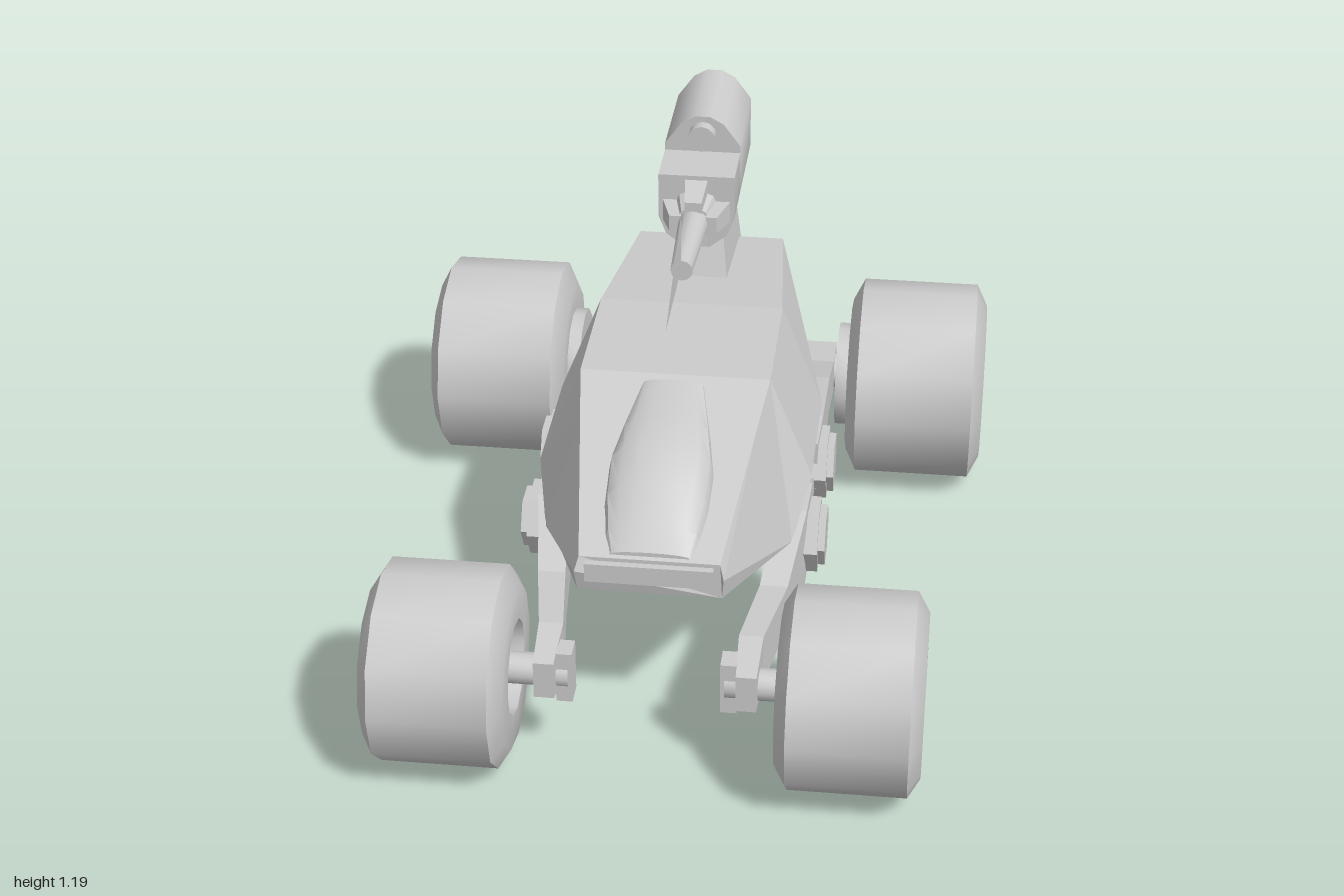
import * as THREE from 'three';
import { toCreasedNormals } from 'three/addons/utils/BufferGeometryUtils.js';

const mat = new THREE.MeshStandardMaterial({ color: 0xcccccc });
const thin = new THREE.MeshStandardMaterial({ color: 0xcccccc, side: THREE.DoubleSide });

export function createModel() {
  const root = new THREE.Group();

  const add = (name, geo, crease = 0.7, material = mat) => {
    const mesh = new THREE.Mesh(toCreasedNormals(geo, crease), material);
    mesh.name = name;
    root.add(mesh);
    return mesh;
  };

  // Closed skin over rings ordered front to back, each counterclockwise seen from the front
  const loft = (rings) => {
    const n = rings[0].length, pos = [];
    const tri = (a, b, c) => pos.push(...a, ...b, ...c);
    for (let i = 0; i < rings.length - 1; i++) {
      for (let j = 0; j < n; j++) {
        const k = (j + 1) % n, A = rings[i], B = rings[i + 1];
        tri(A[j], B[j], B[k]);
        tri(A[j], B[k], A[k]);
      }
    }
    const F = rings[0], L = rings[rings.length - 1];
    for (let j = 1; j < n - 1; j++) {
      tri(F[0], F[j], F[j + 1]);
      tri(L[0], L[j + 1], L[j]);
    }
    const g = new THREE.BufferGeometry();
    g.setAttribute('position', new THREE.Float32BufferAttribute(pos, 3));
    g.computeVertexNormals();
    return g;
  };
  // Right half of a ring, listed from bottom to top, completed by its mirror
  const mirrorRing = (half) => [...half, ...half.slice().reverse().map(([x, y, z]) => [-x, y, z])];
  // Beam of rectangular sections [x, y, z, width, height]
  const beam = (s, stations) => loft(stations.map(([x, y, z, w, h]) =>
    [[1, -1], [1, 1], [-1, 1], [-1, -1]].map(([u, v]) => [s * x + u * w / 2, y + v * h / 2, z])));
  // Cylinder or cone between two points
  const rod = (a, b, ra, rb = ra, sides = 12) => {
    const A = new THREE.Vector3(...a), B = new THREE.Vector3(...b), d = B.clone().sub(A);
    const g = new THREE.CylinderGeometry(rb, ra, d.length(), sides);
    g.applyQuaternion(new THREE.Quaternion().setFromUnitVectors(new THREE.Vector3(0, 1, 0), d.normalize()));
    const m = A.add(B).multiplyScalar(0.5);
    return g.translate(m.x, m.y, m.z);
  };

  // Faceted hull
  add('hull', loft([
    [[.175, .47, .70], [.18, .53, .715], [.17, .565, .70]],
    [[.30, .385, .32], [.315, .39, .32], [.22, .713, .32]],
    [[.335, .485, .17], [.35, .495, .17], [.24, .77, .17]],
    [[.335, .485, -.2], [.35, .495, -.2], [.24, .77, -.2]],
    [[.18, .65, -.66], [.2, .705, -.705], [.2, .715, -.70]],
  ].map(mirrorRing)), 0.1);
  add('nosePanel', new THREE.BoxGeometry(.31, .05, .02).translate(0, .53, .708));

  // Canopy bulge: [z, half width, base y, height]
  add('canopy', loft([
    [.69, .1, .565, .015], [.64, .115, .58, .05], [.56, .128, .61, .085], [.46, .13, .65, .095],
    [.36, .112, .69, .07], [.2, .08, .75, .022],
  ].map(([z, w, y, h]) => {
    const ring = [];
    for (let i = 0; i <= 8; i++) {
      const a = i * Math.PI / 8;
      ring.push([w * Math.cos(a), y + h * Math.pow(Math.sin(a), .6), z]);
    }
    return ring;
  })), 0.75);

  // Lower chassis from a side profile (z, y)
  const side = new THREE.Shape([
    [.31, .5], [.31, .43], [.22, .28], [.1, .265], [-.1, .265], [-.2, .29], [-.47, .39],
    [-.54, .40], [-.54, .57], [-.45, .6], [-.2, .5],
  ].map(([z, y]) => new THREE.Vector2(-z, y)));
  add('chassis', new THREE.ExtrudeGeometry(side, { depth: .31, bevelEnabled: false })
    .translate(0, 0, -.155).rotateY(Math.PI / 2), 0.1);

  // Cross shafts carrying the arms
  add('frontShaft', rod([-.34, .32, .175], [.34, .32, .175], .075));
  add('rearShaft', rod([-.34, .34, -.145], [.34, .34, -.145], .075));

  // Wheel with chamfered shoulders and recessed hub on both faces
  const wheel = (name, s, x, y, z, R, rs, hole, half, inner, outer) => {
    const profile = [
      [0, inner], [hole, inner], [hole, -half], [rs, -half], [R, -half + .03],
      [R, half - .03], [rs, half], [hole, half], [hole, outer], [0, outer],
    ].map(([r, h]) => new THREE.Vector2(r, h));
    const g = new THREE.LatheGeometry(profile, 12).rotateZ(-s * Math.PI / 2);
    add(name, g.translate(s * x, y, z));
  };

  for (const s of [1, -1]) {
    const tag = s > 0 ? 'left' : 'right';

    wheel(tag + 'FrontWheel', s, .497, .26, .75, .25, .2, .12, .175, -.08, .08);
    wheel(tag + 'RearWheel', s, .59, .28, -.72, .275, .215, .145, .19, -.17, .09);
    add(tag + 'FrontAxle', rod([s * .19, .26, .75], [s * .45, .26, .75], .04));
    add(tag + 'RearHub', rod([s * .365, .28, -.72], [s * .42, .28, -.72], .145));
    add(tag + 'RearAxle', rod([s * .19, .28, -.74], [s * .4, .28, -.74], .05));

    // Suspension arms
    add(tag + 'FrontArm', beam(s, [
      [.245, .27, .81, .05, .1], [.245, .28, .68, .06, .14], [.28, .275, .45, .07, .13],
      [.305, .32, .24, .08, .22], [.31, .34, .12, .08, .2], [.31, .36, .05, .08, .1],
    ]), 0.1);
    add(tag + 'RearArm', beam(s, [
      [.305, .37, -.07, .09, .14], [.305, .345, -.2, .1, .21], [.305, .35, -.47, .1, .12],
      [.305, .29, -.68, .1, .1], [.305, .28, -.81, .1, .1],
    ]), 0.1);
    add(tag + 'ArmBracket', new THREE.BoxGeometry(.04, .14, .06).translate(s * .2, .26, .75));

    // Hexagonal pivot caps
    for (const [name, y, z] of [['FrontPivot', .32, .175], ['RearPivot', .34, -.145]]) {
      add(tag + name, rod([s * .33, y, z], [s * .375, y, z], .097, .097, 6));
      add(tag + name + 'Cap', rod([s * .37, y, z], [s * .393, y, z], .078, .078, 6));
    }

    // Rear shock absorbers with end pins
    add(tag + 'ShockSleeve', rod([s * .17, .6, -.38], [s * .19, .42, -.58], .042));
    add(tag + 'ShockRod', rod([s * .19, .42, -.58], [s * .2, .28, -.74], .026));
    add(tag + 'ShockPin', rod([s * .175, .28, -.74], [s * .225, .28, -.74], .065));
  }

  // Turret mount
  add('turretBase', loft([
    [[.08, .70, -.37], [.06, .85, -.43]],
    [[.08, .70, -.73], [.06, .85, -.73]],
  ].map(mirrorRing)), 0.1);
  add('turretPost', rod([0, .84, -.58], [0, .91, -.58], .04));

  // Gun housing: long lower body with a taller rear section
  const housing = (name, half, z0, z1) => {
    const pts = [...half, ...half.slice().reverse().map(([x, y]) => [-x, y])];
    const shape = new THREE.Shape(pts.map(([x, y]) => new THREE.Vector2(x, y)));
    add(name, new THREE.ExtrudeGeometry(shape, { depth: z1 - z0, bevelEnabled: false }).translate(0, 0, z0));
  };
  const lower = [[.035, .885], [.08, .92], [.1, .97]];
  housing('gunBody', [...lower, [.1, 1.09]], -.46, -.305);
  housing('gunRear', [...lower, [.1, 1.11], [.056, 1.17], [.02, 1.19]], -.76, -.455);
  add('sight', rod([0, 1.14, -.46], [0, 1.14, -.422], .036));
  add('upperExhaust', rod([0, 1.085, -.75], [0, 1.085, -.80], .055));
  add('lowerExhaust', rod([0, .985, -.75], [0, .985, -.80], .055));

  // Barrel with four slanted collar fins
  add('barrel', rod([0, .99, -.31], [0, .99, .03], .042, .028));
  add('barrelCollar', rod([0, .99, -.31], [0, .99, -.235], .065, .045, 8), 0.1);
  for (let i = 0; i < 4; i++) {
    const fin = loft([
      [[.022, .03, -.225], [.022, .062, -.225], [-.022, .062, -.225], [-.022, .03, -.225]],
      [[.03, .05, -.31], [.03, .09, -.31], [-.03, .09, -.31], [-.03, .05, -.31]],
    ]);
    add('collarFin', fin.rotateZ(i * Math.PI / 2).translate(0, .99, 0), 0.1);
  }

  // Thin triangular blade ahead of the muzzle
  const blade = new THREE.Shape([[-.36, 1], [-.045, 1], [-.045, 1.15]].map((p) => new THREE.Vector2(...p)));
  add('frontBlade', new THREE.ShapeGeometry(blade).rotateY(Math.PI / 2), 0.1, thin);

  return root;
}
